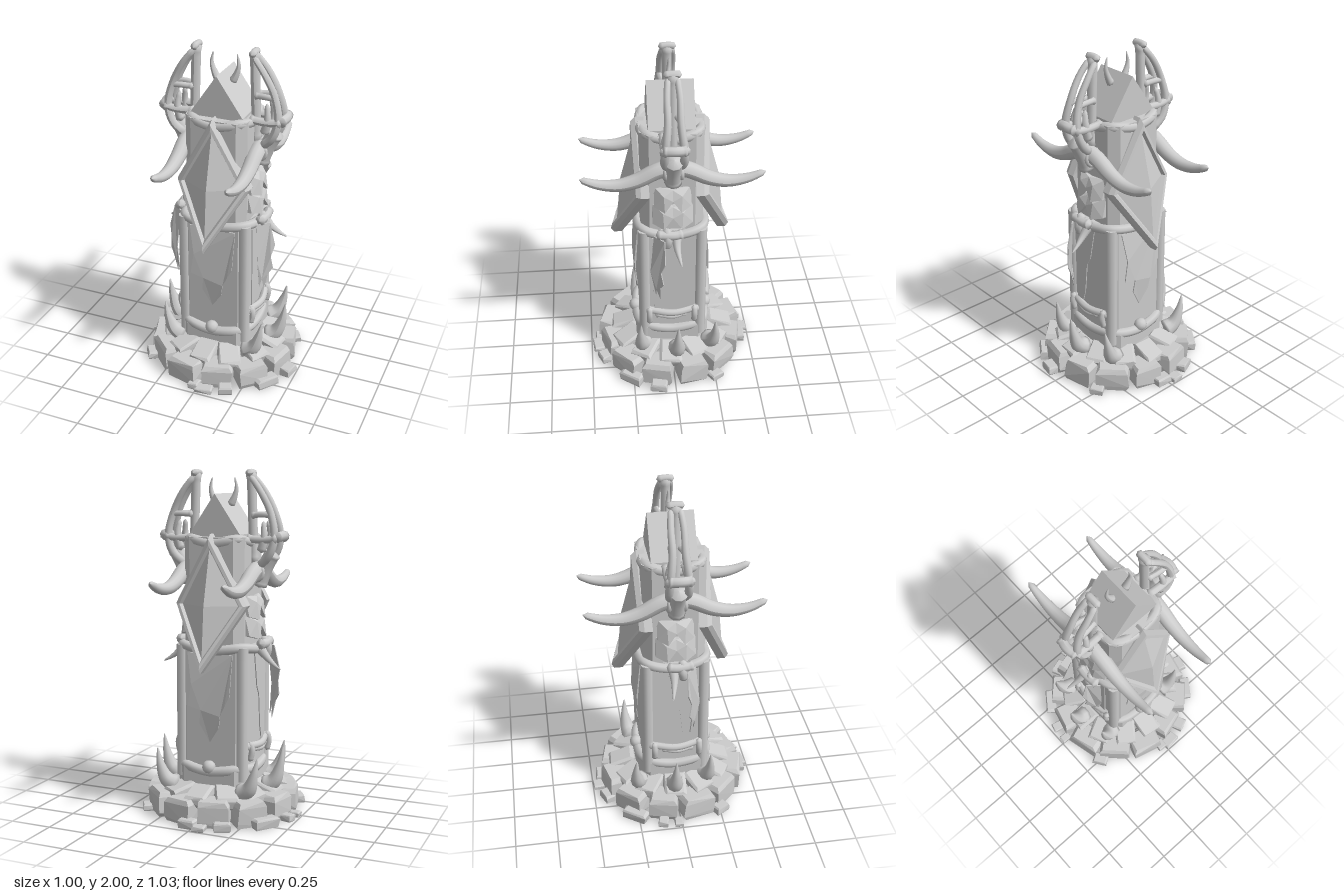
import * as THREE from 'three';
import { ConvexGeometry } from 'three/addons/geometries/ConvexGeometry.js';

const V = (x, y, z) => new THREE.Vector3(x, y, z);
const stone = new THREE.MeshStandardMaterial({ color: 0xcccccc });
stone.name = 'grey stone';
stone.side = THREE.DoubleSide;

// small seeded random, -1 to 1
let seed = 11;
const rnd = () => {
  seed = (seed * 16807) % 2147483647;
  return (seed / 2147483647) * 2 - 1;
};

function add(parent, name, geo) {
  const m = new THREE.Mesh(geo, stone);
  m.name = name;
  parent.add(m);
  return m;
}
const hull = (parent, name, pts) => add(parent, name, new ConvexGeometry(pts));

// tube along a curve whose radius follows radius(t), with closed ends
function horn(parent, name, pts, radius, segs = 20, sides = 9) {
  const curve = new THREE.CatmullRomCurve3(pts.map((p) => V(...p)));
  const geo = new THREE.TubeGeometry(curve, segs, 1, sides, false);
  const pos = geo.attributes.position;
  const v = V();
  for (let i = 0; i <= segs; i++) {
    const c = curve.getPointAt(i / segs);
    const r = i === 0 || i === segs ? 0.0005 : radius(i / segs);
    for (let j = 0; j <= sides; j++) {
      const k = i * (sides + 1) + j;
      v.fromBufferAttribute(pos, k).sub(c).multiplyScalar(r).add(c);
      pos.setXYZ(k, v.x, v.y, v.z);
    }
  }
  geo.computeVertexNormals();
  return add(parent, name, geo);
}
const taper = (a, b) => (t) => a + (b - a) * t;
const bone = (r, knob = 1.35) => (t) => r * (Math.abs(t - 0.5) > 0.4 ? knob : 1);

// eight-sided column section with cut corners
function prism(parent, name, hx, hz, cut, y0, y1) {
  const s = new THREE.Shape();
  [[hx, cut - hz], [hx, hz - cut], [hx - cut, hz], [cut - hx, hz], [-hx, hz - cut],
    [-hx, cut - hz], [cut - hx, -hz], [hx - cut, -hz]].forEach(([x, y], i) => (i ? s.lineTo(x, y) : s.moveTo(x, y)));
  const geo = new THREE.ExtrudeGeometry(s, { depth: y1 - y0, bevelEnabled: false });
  geo.rotateX(-Math.PI / 2).translate(0, y0, 0);
  return add(parent, name, geo);
}

// rounded square binding around the column
function band(parent, name, y, hx, hz, r) {
  const pts = [[1, 0], [0.84, 0.84], [0, 1], [-0.84, 0.84], [-1, 0], [-0.84, -0.84], [0, -1], [0.84, -0.84]]
    .map(([x, z], i) => V(x * hx, y + (i % 2 ? 0.012 : -0.01), z * hz));
  add(parent, name, new THREE.TubeGeometry(new THREE.CatmullRomCurve3(pts, true), 48, r, 8, true));
}

// chipped block, bevelled at top and sides
function rock(parent, name, angle, r, w, h, d, y, tilt = 0) {
  const pts = [];
  for (const [ly, k] of [[0, 0.93], [h * 0.2, 1], [h * 0.8, 1], [h, 0.82]])
    for (const sx of [-1, 1]) for (const sz of [-1, 1])
      pts.push(V(sx * w / 2 * k * (1 + 0.1 * rnd()), ly, sz * d / 2 * k * (1 + 0.1 * rnd())));
  const m = hull(parent, name, pts);
  m.rotation.set(tilt, angle, 0, 'YXZ');
  m.position.set(Math.sin(angle) * r, y, Math.cos(angle) * r);
}

// ragged hanging cloth in its local xy plane
function cloth(parent, name, outline, bend) {
  const s = new THREE.Shape(outline.map(([x, y]) => new THREE.Vector2(x, y)));
  const geo = new THREE.ExtrudeGeometry(s, { depth: 0.006, bevelEnabled: false });
  const p = geo.attributes.position;
  for (let i = 0; i < p.count; i++) p.setZ(i, p.getZ(i) + bend(p.getX(i), p.getY(i)));
  geo.computeVertexNormals();
  return add(parent, name, geo);
}

// diamond shield: four thick rim bars around a faceted middle
function shield() {
  const g = new THREE.Group();
  g.name = 'diamondShield';
  const c = V(0, 1.24, 0.245);
  const corners = [V(0, 1.64, 0.18), V(0.22, 1.24, 0.165), V(0, 0.865, 0.32), V(-0.22, 1.24, 0.165)];
  const at = (i, s, dz) => corners[i % 4].clone().sub(c).multiplyScalar(s).add(c).add(V(0, 0, dz));
  for (let i = 0; i < 4; i++) {
    const bar = [];
    for (const k of [i, i + 1]) bar.push(at(k, 1, -0.035), at(k, 1, 0.012), at(k, 0.93, 0.035), at(k, 0.84, 0.032), at(k, 0.77, 0.005), at(k, 0.77, -0.03));
    hull(g, 'shieldRim', bar);
    hull(g, 'shieldFacet', [at(i, 0.8, 0.008), at(i + 1, 0.8, 0.008), at(i, 0.8, -0.02), at(i + 1, 0.8, -0.02), V(0, 1.24, 0.285), V(0, 1.24, 0.22)]);
  }
  return g;
}

// bone rack, tusk, plates and cloth for the model's left side
function sideDetails() {
  const g = new THREE.Group();
  g.name = 'sideOrnaments';
  horn(g, 'tusk', [[0.215, 1.385, -0.515], [0.215, 1.345, -0.41], [0.215, 1.335, -0.3], [0.215, 1.36, -0.2], [0.215, 1.42, -0.08], [0.215, 1.435, 0],
    [0.215, 1.42, 0.08], [0.215, 1.36, 0.2], [0.215, 1.335, 0.3], [0.215, 1.345, 0.41], [0.215, 1.385, 0.515]],
  (t) => 0.015 + 0.032 * Math.pow(Math.sin(Math.PI * t), 0.8), 48, 12);
  // upright and bowed bones
  horn(g, 'uprightBone', [[0.19, 1.45, 0], [0.18, 1.75, 0], [0.17, 1.995, 0]], bone(0.027, 1.2), 20);
  horn(g, 'bonePin', [[0.17, 1.975, -0.05], [0.17, 1.98, 0], [0.17, 1.975, 0.05]], bone(0.02, 1.1), 8);
  for (const z of [-0.035, 0.035]) {
    horn(g, 'bowedRib', [[0.17, 1.965, z * 0.7], [0.24, 1.875, z], [0.3, 1.76, z], [0.33, 1.62, z * 1.4], [0.3, 1.52, z * 1.5], [0.23, 1.45, z]],
      (t) => 0.017 + 0.009 * t, 24);
    horn(g, 'crossBone', [[0.18, 1.74, z * 0.6], [0.26, 1.745, z], [0.32, 1.74, z]], bone(0.017), 12);
    horn(g, 'lowerCrossBone', [[0.16, 1.61, z * 1.5], [0.27, 1.605, z * 1.6], [0.355, 1.615, z * 1.5]], bone(0.022), 14);
    horn(g, 'jawFang', [[0.26, 1.71, z], [0.27, 1.62, z * 1.5], [0.25, 1.53, z * 1.3]], taper(0.012, 0.028), 12);
  }
  horn(g, 'rackTie', [[0.345, 1.62, -0.065], [0.36, 1.625, 0], [0.345, 1.62, 0.065]], bone(0.028, 1.2), 12);
  // bound joint where the tusk is tied on
  for (const z of [-0.045, 0, 0.045]) {
    const ring = add(g, 'tuskBinding', new THREE.TorusGeometry(0.045, 0.014, 8, 18));
    ring.position.set(0.215, 1.432 - Math.abs(z) * 0.3, z);
  }
  horn(g, 'jointBone', [[0.31, 1.54, 0], [0.26, 1.45, 0], [0.215, 1.33, 0]], bone(0.046, 1.1), 14);
  // layered pointed plates, flaring outward
  for (const [y, x, w] of [[1.29, 0.2, 0.105], [1.18, 0.205, 0.115]])
    for (const s of [-1, 1]) {
      const outline = [[0, y - 0.01, x + 0.01], [w * s, y, x - 0.025], [w * s, y - 0.12, x + 0.005], [w * s * 0.45, y - 0.14, x + 0.045],
        [0, y - 0.07, x + 0.035], [w * s * 0.5, y - 0.04, x + 0.03]];
      hull(g, 'pointedPlate', outline.flatMap(([z, py, px]) => [V(px, py, z), V(px - 0.03, py, z)]));
    }
  // belt horn and hanging cloth
  horn(g, 'beltHorn', [[0.22, 1.0, -0.02], [0.28, 0.93, -0.02], [0.33, 0.89, -0.03], [0.375, 0.865, -0.04]], taper(0.034, 0.004), 14);
  horn(g, 'beltKnot', [[0.23, 1.04, 0.04], [0.265, 0.985, 0.03], [0.25, 0.92, 0.04]], bone(0.026, 1.1), 10);
  horn(g, 'beltToggle', [[0.25, 1.01, -0.06], [0.26, 1.005, 0], [0.25, 1.01, 0.1]], bone(0.027, 1.15), 12);
  const c = cloth(g, 'hangingCloth', [[-0.05, 0.99], [0.03, 0.99], [0.06, 0.85], [0.035, 0.78], [0.05, 0.7], [0.02, 0.66],
    [0, 0.55], [-0.015, 0.63], [-0.03, 0.57], [-0.045, 0.75]], (x, y) => 0.03 * Math.sin((0.99 - y) * 7) - x * 0.3);
  c.rotation.y = Math.PI / 7;
  c.position.set(0.275, 0, 0.07);
  const s = cloth(g, 'sidePanelCloth', [[-0.12, 0.96], [0.05, 0.96], [0.01, 0.75], [-0.02, 0.7], [-0.04, 0.5], [-0.08, 0.36], [-0.11, 0.37]], () => 0.212);
  s.rotation.y = Math.PI / 2;
  // low tie bar and three ground spikes
  horn(g, 'lowTieBar', [[0.2, 0.425, 0.17], [0.235, 0.41, 0], [0.2, 0.425, -0.17]], bone(0.022, 1.3), 16);
  horn(g, 'lowTieStrap', [[0.215, 0.39, 0.11], [0.24, 0.385, 0], [0.215, 0.395, -0.09]], bone(0.015), 12);
  for (const z of [-0.13, 0.14]) horn(g, 'lowTiePeg', [[0.22, 0.45, z], [0.235, 0.4, z], [0.22, 0.33, z]], bone(0.018), 10);
  for (const [z, x, top] of [[0.19, 0.23, 0.39], [-0.02, 0.3, 0.41], [-0.24, 0.23, 0.39]])
    horn(g, 'groundSpike', [[x - 0.03, 0.16, z * 0.9], [x + 0.03, 0.2, z], [x + 0.065, 0.29, z * 1.05], [x + 0.085, top, z * 1.04]],
      taper(0.06, 0.003), 18, 10);
  return g;
}

export function createModel() {
  const g = new THREE.Group();
  g.name = 'totemPillar';

  // ring of foundation stones and upper slabs
  for (let i = 0; i < 12; i++) {
    const a = ((i + 0.5) / 12) * Math.PI * 2;
    rock(g, 'foundationStone', a, 0.365 + 0.01 * rnd(), 0.18 + 0.02 * rnd(), 0.143 + 0.01 * rnd(), 0.145, 0.005);
    rock(g, 'upperSlab', a + 0.2, 0.28 + 0.015 * rnd(), 0.13, 0.07, 0.16, 0.115, 0.3 + 0.06 * rnd());
  }
  // loose chips: x, z, width, height
  for (const [x, z, w, h] of [[-0.37, -0.27, 0.15, 0.06], [0.38, -0.25, 0.08, 0.04], [-0.45, -0.11, 0.06, 0.04], [-0.46, -0.02, 0.05, 0.03],
    [0.455, 0.1, 0.1, 0.05], [0.37, 0.26, 0.14, 0.06], [-0.385, 0.25, 0.09, 0.05], [-0.17, -0.42, 0.1, 0.05], [-0.05, -0.465, 0.07, 0.03],
    [0.03, -0.44, 0.1, 0.05], [0.05, 0.455, 0.1, 0.03], [0.17, 0.42, 0.08, 0.05], [-0.02, 0.44, 0.06, 0.04]])
    rock(g, 'looseChip', Math.atan2(x, z), Math.hypot(x, z), w, h, 0.065, 0);

  // pillar, plinth, corner posts and gabled cap
  prism(g, 'plinth', 0.22, 0.218, 0.06, 0.12, 0.285);
  prism(g, 'lowerPillar', 0.205, 0.19, 0.05, 0.09, 1.0);
  prism(g, 'upperPillar', 0.185, 0.18, 0.05, 1.0, 1.62);
  for (const x of [-1, 1]) for (const z of [-1, 1]) {
    const post = add(g, 'cornerPost', new THREE.CylinderGeometry(0.036, 0.036, 0.78, 8));
    post.position.set(x * 0.188, 0.61, z * 0.165);
  }
  const roof = new THREE.Shape([[-0.155, 1.55], [0.155, 1.55], [0.155, 1.635], [0, 1.862], [-0.155, 1.635]].map((p) => new THREE.Vector2(...p)));
  add(g, 'gabledCap', new THREE.ExtrudeGeometry(roof, { depth: 0.26, bevelEnabled: false }).translate(0, 0, -0.13));

  // bindings
  band(g, 'topBinding', 1.595, 0.17, 0.165, 0.03);
  band(g, 'beltBinding', 0.985, 0.215, 0.195, 0.028);
  band(g, 'footBinding', 0.275, 0.205, 0.207, 0.03);

  for (const side of [0, Math.PI]) {
    const half = new THREE.Group();
    half.name = side ? 'backFace' : 'frontFace';
    half.add(shield());
    cloth(half, 'tornBanner', [[-0.14, 0.96], [0.14, 0.96], [0.13, 0.72], [0.1, 0.66], [0.07, 0.6], [0.06, 0.53], [0, 0.44],
      [-0.06, 0.55], [-0.05, 0.63], [-0.13, 0.65], [-0.11, 0.78]], (x, y) => 0.195 + 0.022 * Math.sin((0.96 - y) * 6));
    const knot = add(half, 'footKnot', new THREE.IcosahedronGeometry(0.04, 1));
    knot.position.set(0, 0.295, 0.215);
    half.rotation.y = side;
    g.add(half);
  }

  // side ornaments and cap horns, mirrored
  for (const s of [1, -1]) {
    const half = sideDetails();
    horn(half, 'capHorn', [[0.04, 1.79, 0], [0.062, 1.83, 0], [0.08, 1.89, 0], [0.07, 1.955, 0]], taper(0.025, 0.003), 14);
    half.scale.x = s;
    g.add(half);
  }
  return g;
}
